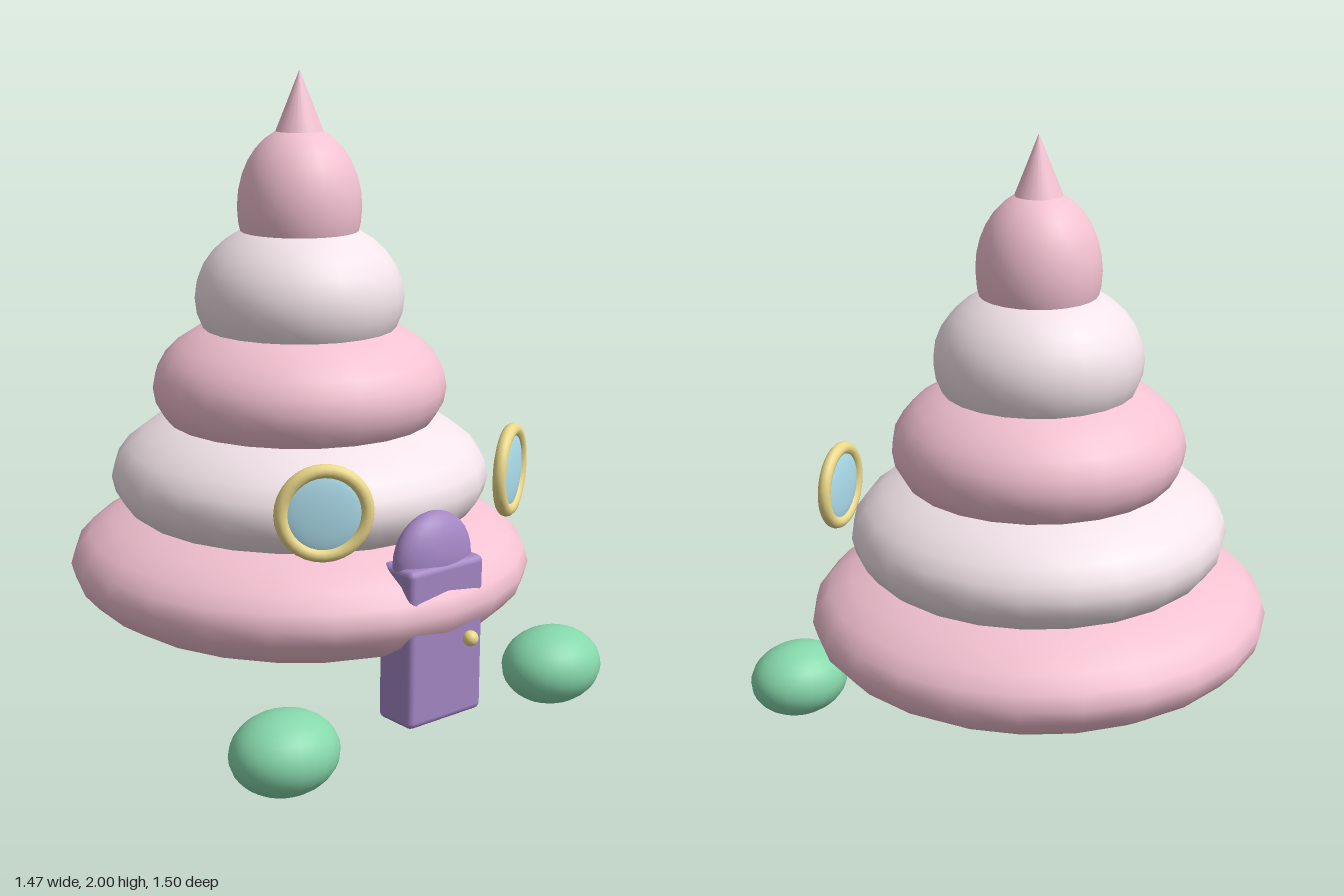
import * as THREE from 'three';
import { RoundedBoxGeometry } from 'three/addons/geometries/RoundedBoxGeometry.js';

const mat = (color) => new THREE.MeshStandardMaterial({ color });
const pink = mat(0xf4c2d2);
const cream = mat(0xf3e4ea);
const gold = mat(0xecd98a);
const glassBlue = mat(0xaedfee);
const purple = mat(0xa486c4);
const green = mat(0x86d8ac);

function add(parent, name, geometry, material, x, y, z) {
  const mesh = new THREE.Mesh(geometry, material);
  mesh.name = name;
  mesh.position.set(x, y, z);
  parent.add(mesh);
  return mesh;
}

// Sphere stretched to three half-sizes, with normals kept correct
const ellipsoid = (rx, ry, rz, seg = 24, rings = 16) =>
  new THREE.SphereGeometry(1, seg, rings).scale(rx, ry, rz);

export function createModel() {
  const house = new THREE.Group();
  house.name = 'swirlHouse';
  const cz = -0.012;

  // Stacked, shrinking tiers in alternating colours
  [0.737, 0.602, 0.467, 0.331, 0.196].forEach((r, i) => {
    add(house, 'tier' + (i + 1), ellipsoid(r, 0.25, r), i % 2 ? cream : pink, 0, 0.45 + i * 0.283, cz);
  });

  // Pointed tip
  add(house, 'tip', new THREE.ConeGeometry(0.08, 0.2, 24), pink, 0, 1.9, cz);

  // Door with a domed top and a round knob
  const door = new THREE.Group();
  door.name = 'door';
  house.add(door);
  add(door, 'doorPanel', new RoundedBoxGeometry(0.292, 0.49, 0.147, 2, 0.02), purple, 0, 0.352, 0.622);
  add(door, 'doorArch', ellipsoid(0.146, 0.148, 0.068), purple, 0, 0.595, 0.622);
  add(door, 'doorKnob', new THREE.SphereGeometry(0.024, 16, 12), gold, 0.083, 0.35, 0.707);

  for (const side of [-1, 1]) {
    const label = side > 0 ? 'left' : 'right';

    // Round window turned outwards
    const win = new THREE.Group();
    win.name = label + 'Window';
    win.position.set(side * 0.37, 0.793, 0.568);
    win.rotation.y = side * 0.53;
    house.add(win);
    add(win, 'windowFrame', new THREE.TorusGeometry(0.125, 0.021, 12, 32), gold, 0, 0, 0);
    add(win, 'windowGlass', ellipsoid(0.122, 0.122, 0.02), glassBlue, 0, 0, 0);

    // Bush
    add(house, label + 'Bush', ellipsoid(0.17, 0.122, 0.146), green, side * 0.543, 0.124, 0.605);
  }
  return house;
}
